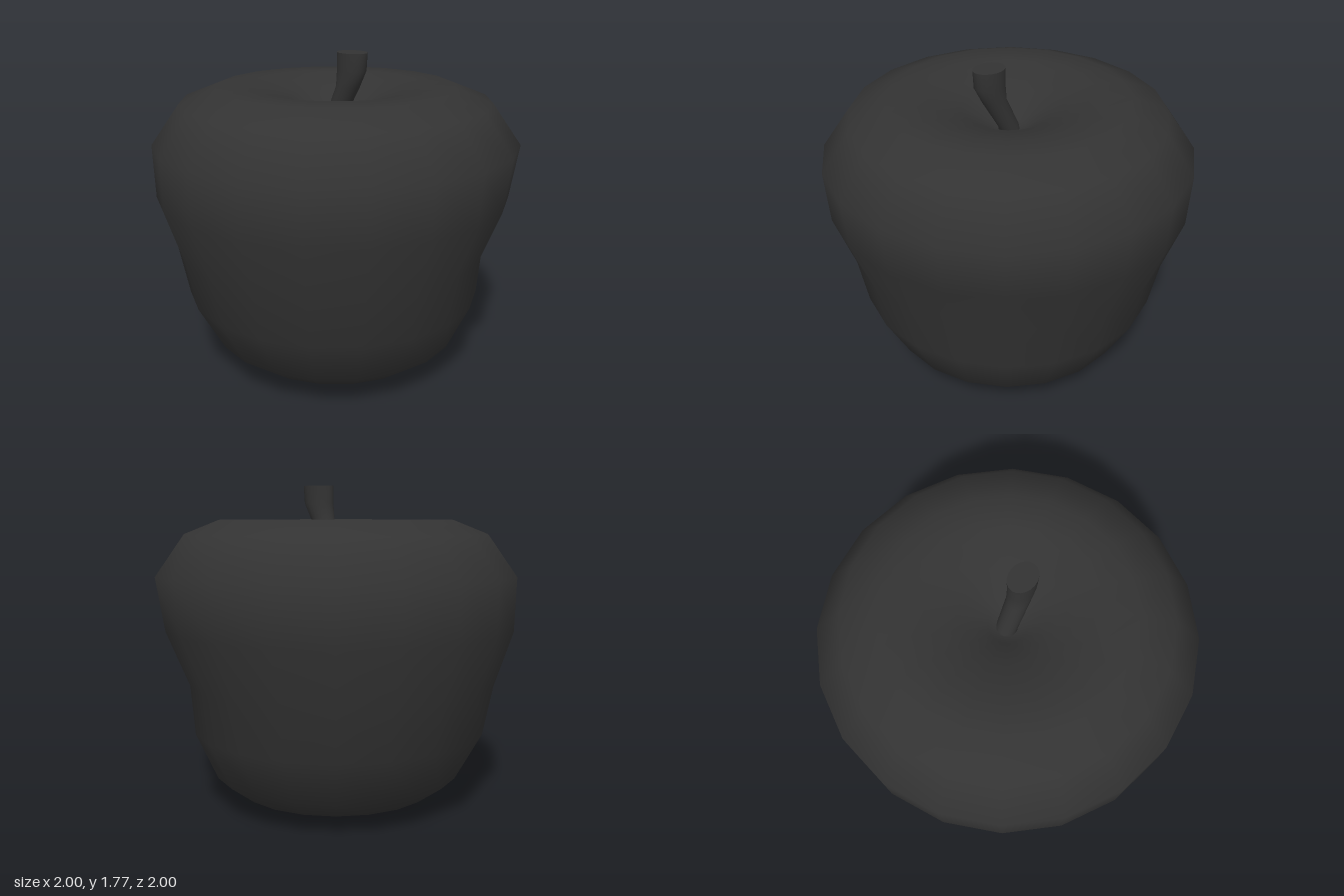
import * as THREE from 'three';
import { mergeVertices } from 'three/addons/utils/BufferGeometryUtils.js';

const SIDES = 20;

// Welds the seam so that smooth normals run all the way round.
function weldSmooth(geometry) {
  geometry.deleteAttribute('uv');
  geometry.deleteAttribute('normal');
  const welded = mergeVertices(geometry, 1e-4);
  welded.computeVertexNormals();
  return welded;
}

// Round body with a stalk hollow, and a shallow dent on its front left.
function bodyGeometry() {
  const profile = [
    [0, 0.04], [0.14, 0.03], [0.32, 0], [0.55, 0.07], [0.69, 0.17],
    [0.835, 0.43], [0.89, 0.7], [0.99, 1.0], [1.0, 1.29], [0.845, 1.51],
    [0.65, 1.588], [0.48, 1.59], [0.25, 1.52], [0.1, 1.41], [0, 1.38],
  ].map(([r, y]) => new THREE.Vector2(r, y));
  const geometry = new THREE.LatheGeometry(profile, SIDES);

  const pos = geometry.attributes.position;
  for (let i = 0; i < pos.count; i++) {
    const x = pos.getX(i), y = pos.getY(i), z = pos.getZ(i);
    const r = Math.hypot(x, z);
    if (r < 0.6 || y > 1.2) continue;
    const turn = (Math.atan2(z, x) - Math.PI / 4) / 0.63;
    const rise = (y - 0.74) / 0.26;
    const depth = 0.065 * Math.exp(-0.5 * (turn * turn + rise * rise));
    const k = (r - depth) / r;
    pos.setX(i, x * k);
    pos.setZ(i, z * k);
  }
  return weldSmooth(geometry);
}

// Stalk lofted through level oval sections: [y, centre z, radius x, radius z].
function stemGeometry(sections) {
  const last = sections.length - 1;
  const geometry = new THREE.CylinderGeometry(1, 1, last, SIDES, last, true);
  const pos = geometry.attributes.position;
  for (let i = 0; i < pos.count; i++) {
    const [y, zc, rx, rz] = sections[Math.round(pos.getY(i) + last / 2)];
    pos.setXYZ(i, pos.getX(i) * rx, y, zc + pos.getZ(i) * rz);
  }
  return weldSmooth(geometry);
}

export function createModel() {
  const group = new THREE.Group();
  group.name = 'apple';
  const material = new THREE.MeshStandardMaterial({ color: 0x333333 });
  const add = (name, geometry, parent = group) => {
    const mesh = new THREE.Mesh(geometry, material);
    mesh.name = name;
    parent.add(mesh);
    return mesh;
  };

  add('body', bodyGeometry());

  const sections = [
    [1.36, -0.01, 0.055, 0.055],
    [1.42, 0.0, 0.055, 0.057],
    [1.59, 0.09, 0.06, 0.068],
    [1.68, 0.117, 0.066, 0.088],
    [1.775, 0.12, 0.071, 0.09],
  ];
  const stem = new THREE.Group();
  stem.name = 'stem';
  group.add(stem);
  add('stemSide', stemGeometry(sections), stem);

  // Flat cut end of the stalk
  const [y, zc, rx, rz] = sections[sections.length - 1];
  const cap = new THREE.CircleGeometry(1, SIDES).scale(rx, rz, 1).rotateX(-Math.PI / 2);
  add('stemEnd', cap, stem).position.set(0, y, zc);

  return group;
}
